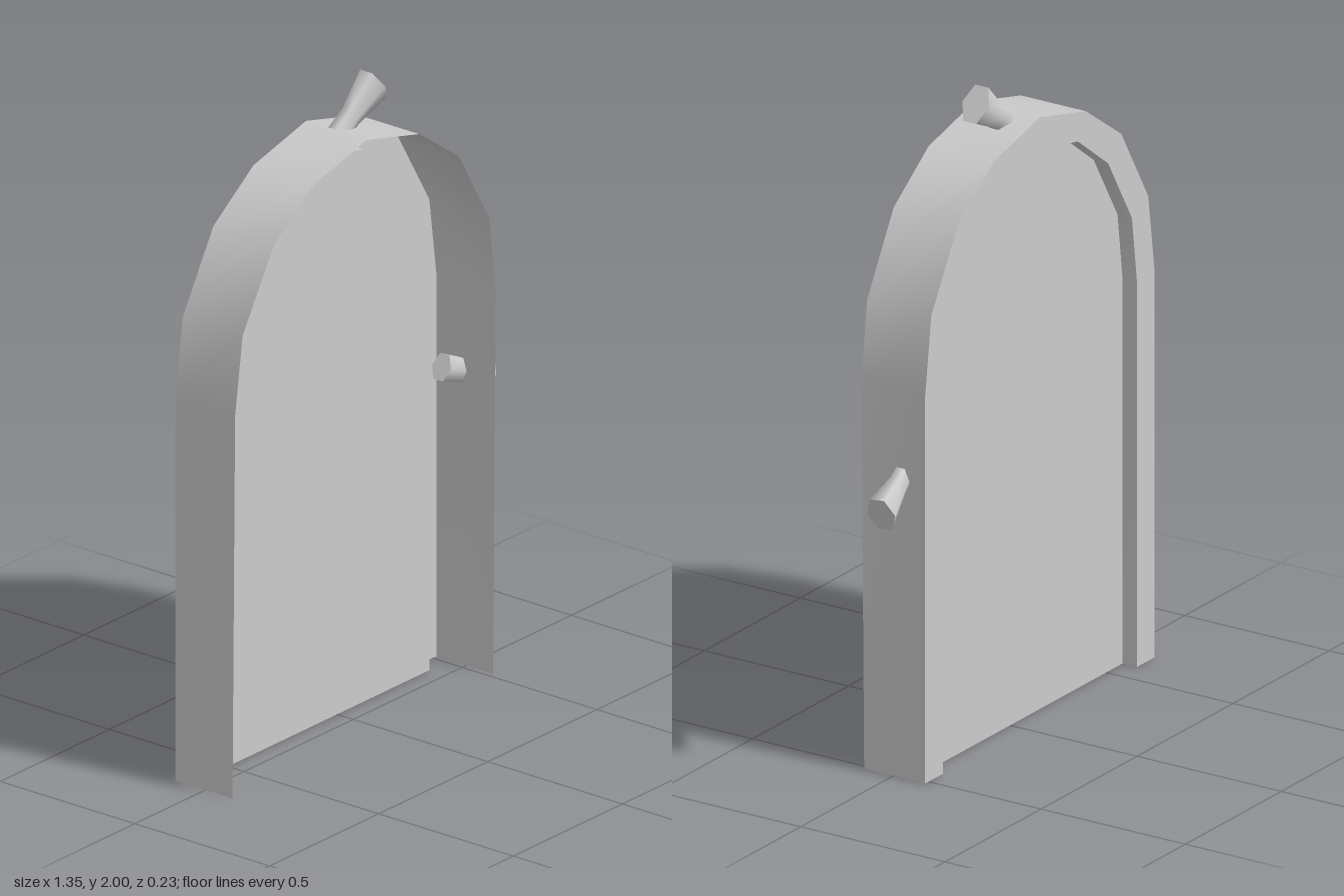
import * as THREE from 'three';
import { toCreasedNormals, mergeVertices } from 'three/addons/utils/BufferGeometryUtils.js';

const CENTER = -0.08;
const sheet = new THREE.MeshStandardMaterial({ color: 0xcccccc, side: THREE.DoubleSide });
const solid = new THREE.MeshStandardMaterial({ color: 0xcccccc });

// Mirrors half an arch [half width, height], foot to apex, into a full outline
function archOutline(half) {
  const left = half.map(([w, y]) => [CENTER - w, y]);
  const right = half.slice(0, -1).reverse().map(([w, y]) => [CENTER + w, y]);
  return [...left, ...right];
}

const outer = archOutline([[0.597, 0], [0.597, 1.2], [0.565, 1.44], [0.424, 1.68], [0.24, 1.81], [0, 1.87]]);
const inner = archOutline([[0.505, 0], [0.505, 1.2], [0.48, 1.4], [0.356, 1.61], [0.198, 1.73], [0, 1.77]]);

// Open ribbon between two matching rows of points
function ribbon(rowA, rowB) {
  const n = rowA.length;
  const index = [];
  for (let i = 0; i < n - 1; i++) {
    index.push(i, i + 1, n + i, i + 1, n + i + 1, n + i);
  }
  const geo = new THREE.BufferGeometry();
  geo.setAttribute('position', new THREE.Float32BufferAttribute([...rowA, ...rowB].flat(), 3));
  geo.setIndex(index);
  return toCreasedNormals(geo, 0.45);
}

function atDepth(outline, z) {
  return outline.map(([x, y]) => [x, y, typeof z === 'function' ? z(y) : z]);
}

// Flared six-sided peg running from its narrow end to its wide end
function makePeg(name, from, to) {
  const start = new THREE.Vector3(...from);
  const axis = new THREE.Vector3(...to).sub(start);
  const length = axis.length();
  const profile = [[0, 0], [0.032, 0], [0.028, 0.5], [0.046, 1], [0, 1]]
    .map(([r, t]) => new THREE.Vector2(r, t * length));
  const lathe = new THREE.LatheGeometry(profile, 6);
  lathe.scale(1.4, 1, 1);
  const peg = new THREE.Mesh(toCreasedNormals(lathe, 1.2), solid);

  const y = axis.normalize();
  const x = new THREE.Vector3().crossVectors(y, new THREE.Vector3(0, 0, 1)).normalize();
  const z = new THREE.Vector3().crossVectors(x, y);
  peg.quaternion.setFromRotationMatrix(new THREE.Matrix4().makeBasis(x, y, z));
  peg.position.copy(start);
  peg.name = name;
  return peg;
}

export function createModel() {
  const model = new THREE.Group();
  model.name = 'archedDoor';
  const add = (name, geometry) => {
    const mesh = new THREE.Mesh(geometry, sheet);
    mesh.name = name;
    model.add(mesh);
  };

  const back = -0.11;
  const panelDepth = -0.06;

  // Deep rim, slightly deeper towards the top
  add('rim', ribbon(atDepth(outer, (y) => 0.101 + 0.008 * y), atDepth(outer, back)));
  // Flat border at the back and the small step up to the panel
  add('backBorder', ribbon(atDepth(outer, back), atDepth(inner, back)));
  add('panelStep', ribbon(atDepth(inner, back), atDepth(inner, panelDepth)));

  // Recessed door panel
  const shape = new THREE.Shape(inner.map(([x, y]) => new THREE.Vector2(x, y)));
  add('doorPanel', new THREE.ShapeGeometry(shape).translate(0, 0, panelDepth));

  // Pegs through the rim
  model.add(makePeg('topPeg', [-0.095, 1.809, -0.018], [0.111, 1.952, -0.015]));
  model.add(makePeg('sidePeg', [0.42, 0.962, -0.012], [0.652, 0.864, -0.047]));
  return model;
}
